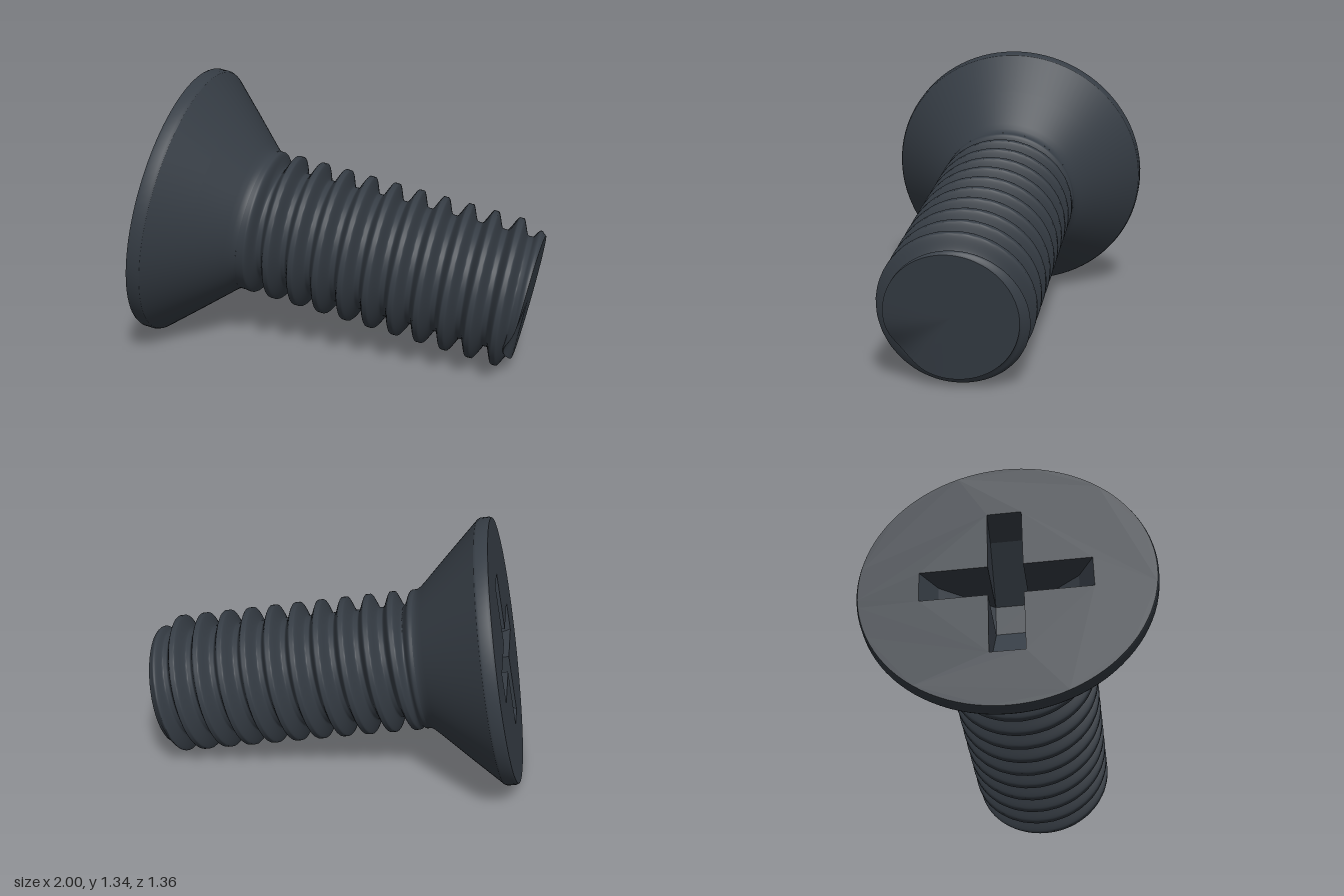
import * as THREE from 'three';

// Sizes along the screw axis (local +Y, zero at the head face)
const HEAD_R = 0.677, RIM = 0.068, NECK = 0.42, END = 1.796, TIP_R = 0.305;
const PITCH = 0.126, CREST = 0.36, ROOT = 0.286, PHASE = 0.537;
const SLOT_W = 0.08, SLOT_L = 0.392, SLOT_D = 0.3;

const smooth = THREE.MathUtils.smoothstep;
const lerp = THREE.MathUtils.lerp;

// Radius of the helical thread, blended into the neck collar and the tip chamfer
function threadRadius(s, phi) {
  const t = (s - PHASE) / PITCH - phi / (2 * Math.PI);
  const f = THREE.MathUtils.clamp(0.5 + 0.62 * Math.cos(2 * Math.PI * t), 0, 1);
  let r = lerp(ROOT, CREST, f);
  r = lerp(0.357, r, smooth(s, 0.435, 0.49));
  return lerp(r, TIP_R, smooth(s, 1.73, END + 0.01));
}

// Small run-out dip where the thread leaves the tip
function tipDip(phi) {
  const d = Math.atan2(Math.sin(phi - 2.27), Math.cos(phi - 2.27));
  return 0.04 * Math.exp(-(d * d) / 0.12);
}

export function createModel() {
  const steel = new THREE.MeshStandardMaterial({ color: 0x363d45, side: THREE.DoubleSide });
  steel.name = 'dark steel';
  const screw = new THREE.Group();
  screw.name = 'screw';

  const add = (geometry, name, parent = screw) => {
    const mesh = new THREE.Mesh(geometry, steel);
    mesh.name = name;
    parent.add(mesh);
    return mesh;
  };
  const lathe = (points, name) =>
    add(new THREE.LatheGeometry(points.map(([r, y]) => new THREE.Vector2(r, y)), 96), name);

  // Head rim, countersunk cone with a small fillet into the neck
  lathe([[HEAD_R - 0.006, 0], [HEAD_R, 0.012], [HEAD_R, RIM - 0.012], [HEAD_R - 0.006, RIM]], 'headRim');
  lathe([[HEAD_R - 0.006, RIM], [0.52, 0.231], [0.39, 0.369], [0.369, 0.393], [0.359, 0.41], [0.357, NECK]], 'headCone');

  // Flat head face with a cross-shaped opening
  const face = new THREE.Shape().absarc(0, 0, HEAD_R - 0.006, 0, Math.PI * 2);
  const w = SLOT_W, l = SLOT_L;
  const cross = [[l, -w], [l, w], [w, w], [w, l], [-w, l], [-w, w], [-l, w], [-l, -w], [-w, -w], [-w, -l], [w, -l], [w, -w]];
  face.holes.push(new THREE.Path(cross.map(([x, y]) => new THREE.Vector2(x, y))));
  add(new THREE.ShapeGeometry(face, 48).rotateX(Math.PI / 2), 'headFace');

  // Cross recess: four arms with sloping floors around a deep square core
  const recess = new THREE.Group();
  recess.name = 'driveRecess';
  screw.add(recess);
  const quads = list => {
    const pos = [];
    for (const [a, b, c, d] of list) pos.push(...a, ...b, ...c, ...a, ...c, ...d);
    const g = new THREE.BufferGeometry();
    g.setAttribute('position', new THREE.Float32BufferAttribute(pos, 3));
    g.computeVertexNormals();
    return g;
  };
  const profile = [[w, 0], [l, 0], [l - 0.07, 0.12], [w, SLOT_D]];
  const side = z => profile.map(([x, y]) => [x, y, z]);
  const near = side(-w), far = side(w);
  const armGeometry = quads([
    near,
    [...far].reverse(),
    [near[1], far[1], far[2], near[2]],
    [near[2], far[2], far[3], near[3]],
  ]);
  for (let i = 0; i < 4; i++) add(armGeometry, 'recessArm', recess).rotation.y = i * Math.PI / 2;
  add(quads([[[-w, SLOT_D, -w], [w, SLOT_D, -w], [w, SLOT_D, w], [-w, SLOT_D, w]]]), 'recessFloor', recess);

  // Threaded shank: an open cylinder pushed out along a helix
  const length = END - NECK;
  const shank = new THREE.CylinderGeometry(1, 1, length, 80, 300, true);
  const p = shank.attributes.position;
  for (let i = 0; i < p.count; i++) {
    const phi = Math.atan2(p.getX(i), p.getZ(i));
    const s = p.getY(i) + length / 2 + NECK;
    const r = threadRadius(s, phi);
    p.setXYZ(i, r * Math.sin(phi), s - tipDip(phi) * smooth(s, END - 0.05, END), r * Math.cos(phi));
  }
  shank.computeVertexNormals();
  // Join the normals across the seam
  const n = shank.attributes.normal, row = 81;
  for (let i = 0; i < p.count; i += row) {
    const a = new THREE.Vector3().fromBufferAttribute(n, i);
    a.add(new THREE.Vector3().fromBufferAttribute(n, i + row - 1)).normalize();
    n.setXYZ(i, a.x, a.y, a.z);
    n.setXYZ(i + row - 1, a.x, a.y, a.z);
  }
  add(shank, 'threadedShank');

  // Tip face, bent down at the thread run-out
  const tipR = threadRadius(END, 0);
  const tip = new THREE.RingGeometry(0.0005, tipR, 80, 10).rotateX(-Math.PI / 2);
  const q = tip.attributes.position;
  for (let i = 0; i < q.count; i++) {
    const rho = Math.hypot(q.getX(i), q.getZ(i)) / tipR;
    q.setY(i, END - tipDip(Math.atan2(q.getX(i), q.getZ(i))) * rho * rho);
  }
  tip.computeVertexNormals();
  add(tip, 'tipFace');

  // Lay the screw down so it rests on its head rim and tip
  const axis = new THREE.Vector3(1, -0.19, 0.213).normalize();
  const across = new THREE.Vector3(0, 0, 1).addScaledVector(axis, -axis.z).normalize();
  const up = new THREE.Vector3().crossVectors(across, axis);
  screw.quaternion.setFromRotationMatrix(new THREE.Matrix4().makeBasis(across, axis, up));
  screw.position.set(-0.814, 0.677, -0.014);

  const model = new THREE.Group();
  model.name = 'countersunkScrew';
  model.add(screw);
  return model;
}
